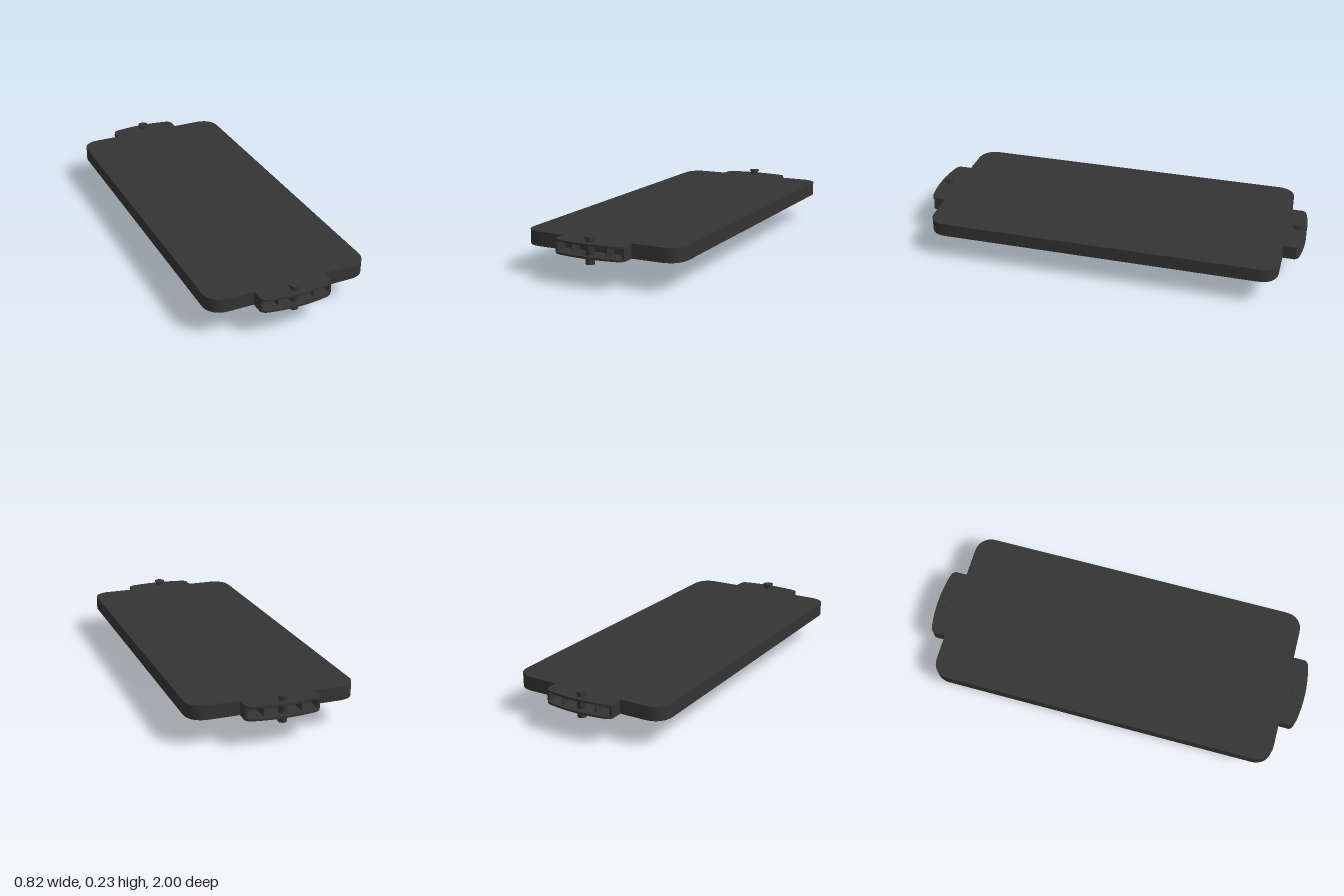
import * as THREE from 'three';
import { toCreasedNormals } from 'three/addons/utils/BufferGeometryUtils.js';

const TOP = 0.21, BOTTOM = 0.14, CENTRE_X = -0.009;

export function createModel() {
  const model = new THREE.Group();
  const darkGrey = new THREE.MeshStandardMaterial({ color: 0x343434 });
  darkGrey.name = 'darkGrey';

  const add = (parent, name, geometry, x = 0, y = 0, z = 0) => {
    const mesh = new THREE.Mesh(toCreasedNormals(geometry, 0.6), darkGrey);
    mesh.name = name;
    mesh.position.set(x, y, z);
    parent.add(mesh);
    return mesh;
  };
  // Plan outline (x, z) extruded downwards from y = 0
  const slab = (shape, depth) =>
    new THREE.ExtrudeGeometry(shape, { depth, bevelEnabled: false, curveSegments: 8 }).rotateX(Math.PI / 2);
  const lathe = (points, segments = 24) =>
    new THREE.LatheGeometry(points.map(([r, y]) => new THREE.Vector2(r, y)), segments);

  // Deck with rounded corners
  const w = 0.412, l = 0.9, cx = 0.32, cz = 0.81;
  const deck = new THREE.Shape();
  deck.moveTo(-cx, -l);
  deck.lineTo(cx, -l);
  deck.bezierCurveTo(0.38, -l, w, -0.86, w, -cz);
  deck.lineTo(w, cz);
  deck.bezierCurveTo(w, 0.86, 0.38, l, cx, l);
  deck.lineTo(-cx, l);
  deck.bezierCurveTo(-0.38, l, -w, 0.86, -w, cz);
  deck.lineTo(-w, -cz);
  deck.bezierCurveTo(-w, -0.86, -0.38, -l, -cx, -l);
  add(model, 'deck', slab(deck, TOP - BOTTOM), 0, TOP, 0);

  // Curved coupler plate, measured outwards from the deck end
  const plate = new THREE.Shape();
  plate.moveTo(-0.182, 0);
  plate.lineTo(0.182, 0);
  plate.lineTo(0.182, 0.058);
  plate.quadraticCurveTo(0.178, 0.078, 0.145, 0.084);
  plate.quadraticCurveTo(0.07, 0.098, 0, 0.098);
  plate.quadraticCurveTo(-0.07, 0.098, -0.145, 0.084);
  plate.quadraticCurveTo(-0.178, 0.078, -0.182, 0.058);

  for (const end of [1, -1]) {
    const coupler = new THREE.Group();
    coupler.name = end > 0 ? 'frontCoupler' : 'rearCoupler';
    coupler.position.set(CENTRE_X, 0, end * l);
    if (end < 0) coupler.rotation.y = Math.PI;
    add(coupler, 'topPlate', slab(plate, 0.01), 0, TOP);
    add(coupler, 'bottomPlate', slab(plate, 0.01), 0, BOTTOM + 0.01);
    for (const side of [1, -1]) {
      add(coupler, 'sideWall', new THREE.BoxGeometry(0.012, 0.05, 0.066), side * 0.175, 0.175, 0.033);
      add(coupler, 'divider', new THREE.BoxGeometry(0.005, 0.05, 0.066), side * 0.092, 0.175, 0.033);
    }
    // Drop-in pin with a flat head
    add(coupler, 'pin', lathe([
      [0, 0.105], [0.021, 0.105], [0.021, 0.229], [0.028, 0.229], [0.028, 0.235], [0, 0.235],
    ]), end * -0.004, 0, 0.05);
    model.add(coupler);
  }

  // Flanged wheel profile with a recessed outer face and hub
  const wheelProfile = [
    [0, 0], [0.058, 0], [0.058, 0.012], [0.048, 0.012], [0.048, 0.037], [0.04, 0.037],
    [0.036, 0.028], [0.02, 0.028], [0.018, 0.035], [0, 0.035],
  ];
  // Axle hanger with a rounded lower end, in the z-y plane
  const hanger = new THREE.Shape();
  hanger.moveTo(0.034, BOTTOM);
  hanger.lineTo(-0.034, BOTTOM);
  hanger.lineTo(-0.034, 0.056);
  hanger.absarc(0, 0.056, 0.034, Math.PI, Math.PI * 2, false);
  const hangerGeometry = new THREE.ExtrudeGeometry(hanger, { depth: 0.028, bevelEnabled: false })
    .translate(0, 0, -0.014).rotateY(Math.PI / 2);

  for (const z of [0.352, -0.356]) {
    const wheelset = new THREE.Group();
    wheelset.name = z > 0 ? 'frontWheelset' : 'rearWheelset';
    wheelset.position.set(CENTRE_X, 0, z);
    add(wheelset, 'axle', new THREE.CylinderGeometry(0.019, 0.019, 0.37, 16).rotateZ(Math.PI / 2), 0, 0.059);
    for (const side of [1, -1]) {
      add(wheelset, 'wheel', lathe(wheelProfile).rotateZ(-side * Math.PI / 2), side * 0.177, 0.059);
      add(wheelset, 'hanger', hangerGeometry, side * 0.103, 0);
    }
    model.add(wheelset);
  }
  return model;
}
